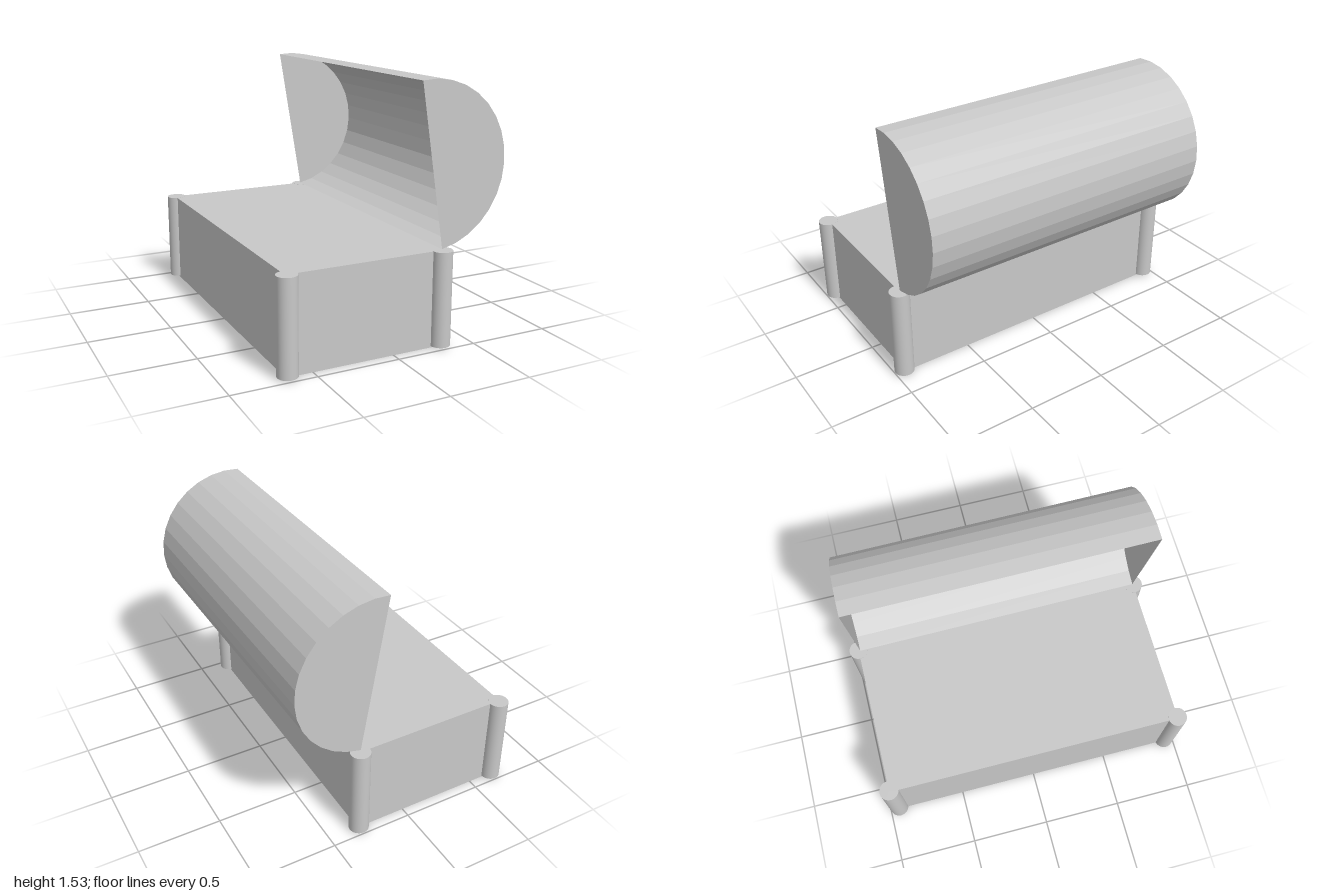
import * as THREE from 'three';

export function createModel() {
  const model = new THREE.Group();
  model.name = 'openChest';

  const grey = new THREE.MeshStandardMaterial({ color: 0xc8c8c8 });
  grey.name = 'grey';
  grey.side = THREE.DoubleSide;
  const facetedGrey = grey; // one colour throughout

  const add = (parent, name, geometry, x, y, z) => {
    const mesh = new THREE.Mesh(geometry, facetedGrey);
    mesh.name = name;
    mesh.position.set(x, y, z);
    parent.add(mesh);
    return mesh;
  };

  // Solid chest body
  const bodyHeight = 0.573;
  add(model, 'body', new THREE.BoxGeometry(0.974, bodyHeight, 1.88), -0.173, bodyHeight / 2, 0);

  // Round corner posts
  const postGeometry = new THREE.CylinderGeometry(0.06, 0.06, 0.565, 32);
  for (const x of [-0.65, 0.306])
    for (const z of [-0.94, 0.94])
      add(model, 'cornerPost', postGeometry, x, 0.2915, z);

  // Half-barrel lid, hollow and swung open about the hinge side
  const radius = 0.482, length = 1.865, segments = 16;
  const lid = new THREE.Group();
  lid.name = 'lid';
  lid.position.set(0.225, 1.053, 0.003);
  lid.rotation.set(0, 0.004, 0.161);
  model.add(lid);

  // Faceted curved shell
  let shell = new THREE.CylinderGeometry(radius, radius, length, segments, 1, true, 0, Math.PI);
  shell.rotateX(Math.PI / 2);
  shell = shell.toNonIndexed();
  shell.computeVertexNormals();
  add(lid, 'lidShell', shell, 0, 0, 0);

  // Half-round end panels
  const panel = new THREE.CircleGeometry(radius, segments, -Math.PI / 2, Math.PI);
  add(lid, 'lidFrontPanel', panel, 0, 0, length / 2);
  const backPanel = panel.clone().rotateY(Math.PI).rotateZ(Math.PI);
  add(lid, 'lidBackPanel', backPanel, 0, 0, -length / 2);

  return model;
}
